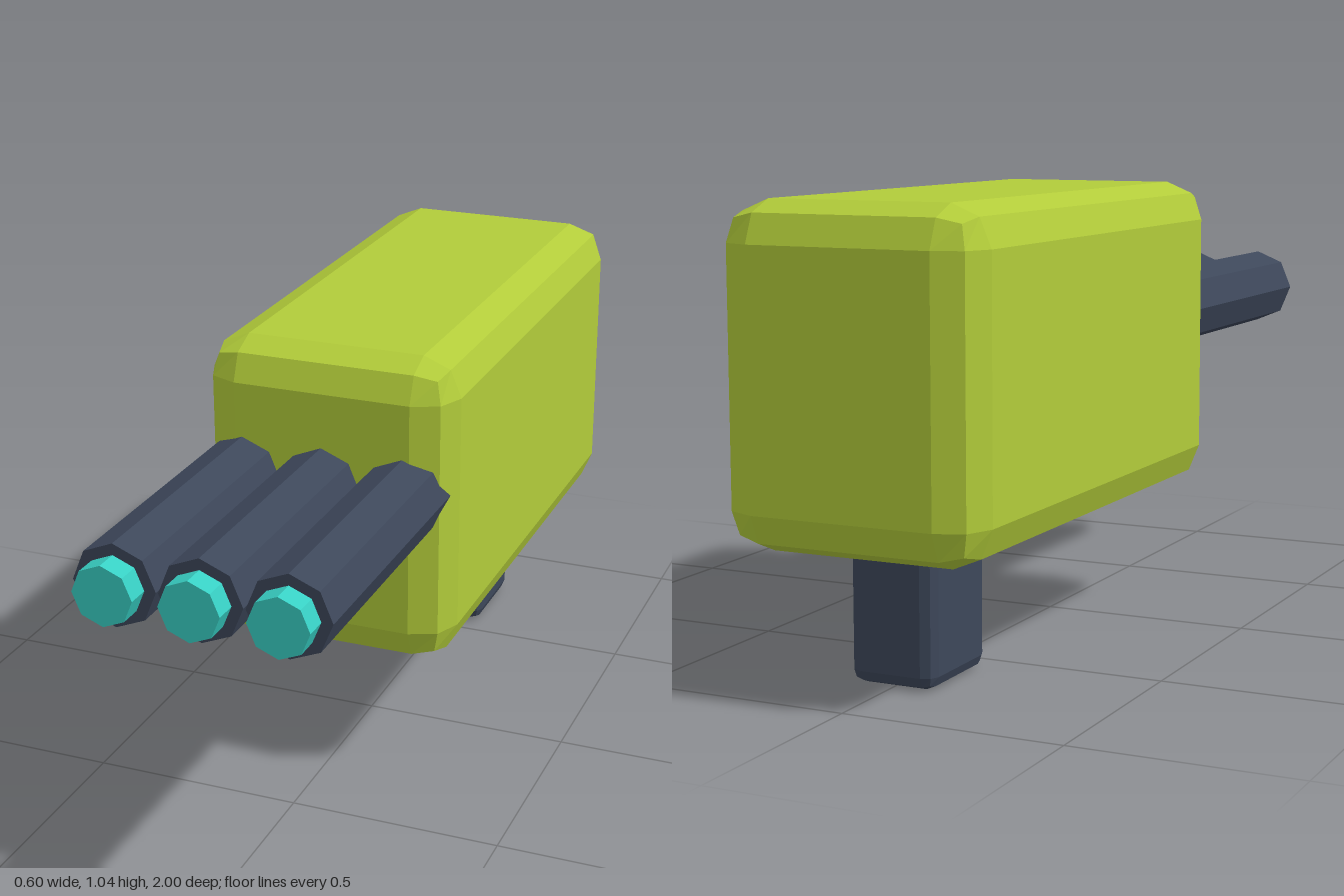
import * as THREE from 'three';
import { RoundedBoxGeometry } from 'three/addons/geometries/RoundedBoxGeometry.js';

export function createModel() {
  const lime = new THREE.MeshStandardMaterial({ name: 'lime', color: 0xb2cc3a, flatShading: true });
  const slate = new THREE.MeshStandardMaterial({ name: 'slate', color: 0x3d475a, flatShading: true });
  const turquoise = new THREE.MeshStandardMaterial({ name: 'turquoise', color: 0x38d0c4, flatShading: true });
  const model = new THREE.Group();
  model.name = 'tripleBarrelBlaster';

  // Box with two-facet bevelled edges, given by its low and high corners
  function bevelledBox(name, min, max, radius, material) {
    const size = max.map((v, i) => v - min[i]);
    const mesh = new THREE.Mesh(new RoundedBoxGeometry(...size, 1, radius), material);
    mesh.position.set(...max.map((v, i) => (v + min[i]) / 2));
    mesh.name = name;
    model.add(mesh);
  }

  // Eight-sided rod along z
  function rod(name, radius, z0, z1, material) {
    const geometry = new THREE.CylinderGeometry(radius, radius, z1 - z0, 8);
    geometry.rotateX(Math.PI / 2);
    geometry.translate(0, 0, (z0 + z1) / 2);
    const mesh = new THREE.Mesh(geometry, material);
    mesh.name = name;
    return mesh;
  }

  bevelledBox('body', [-0.302, 0.303, -1], [0.302, 1.042, 0.315], 0.09, lime);
  bevelledBox('grip', [-0.102, 0, -0.8], [0.102, 0.4, -0.543], 0.03, slate);

  // Row of three barrels with glowing tips
  ['right', 'middle', 'left'].forEach((side, i) => {
    const barrel = new THREE.Group();
    barrel.name = side + 'Barrel';
    barrel.position.set((i - 1) * 0.195, 0.728, 0);
    barrel.add(rod('tube', 0.095, 0.2, 0.945, slate), rod('tip', 0.069, 0.9, 1, turquoise));
    model.add(barrel);
  });

  return model;
}
